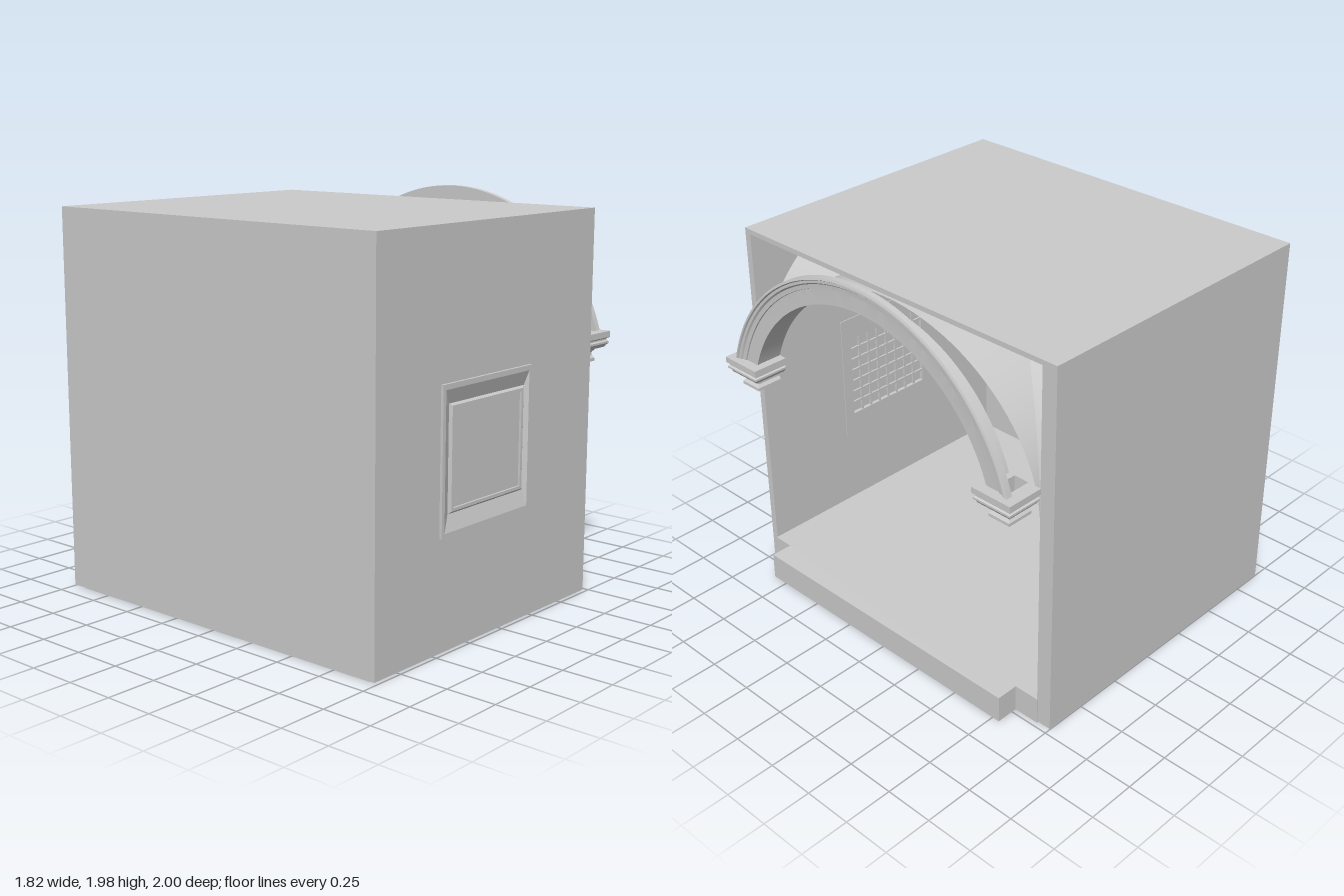
import * as THREE from 'three';
import { toCreasedNormals } from 'three/addons/utils/BufferGeometryUtils.js';

const solid = new THREE.MeshStandardMaterial({ color: 0xcccccc });
const thin = new THREE.MeshStandardMaterial({ color: 0xcccccc, side: THREE.DoubleSide });

function add(parent, name, geometry, material = solid) {
  const mesh = new THREE.Mesh(geometry, material);
  mesh.name = name;
  parent.add(mesh);
  return mesh;
}

// Box given by its minimum and maximum on each axis
function slab(parent, name, x0, x1, y0, y1, z0, z1) {
  const g = new THREE.BoxGeometry(x1 - x0, y1 - y0, z1 - z0);
  g.translate((x0 + x1) / 2, (y0 + y1) / 2, (z0 + z1) / 2);
  return add(parent, name, g);
}

function rect(path, x0, x1, y0, y1) {
  path.moveTo(x0, y0);
  path.lineTo(x1, y0);
  path.lineTo(x1, y1);
  path.lineTo(x0, y1);
  path.closePath();
  return path;
}

// Hollow moulding: a closed loop of rectangles [x0, x1, y0, y1, z]
function rectLoop(rings) {
  const pos = [];
  const corners = ([x0, x1, y0, y1, z]) => [[x0, y0, z], [x1, y0, z], [x1, y1, z], [x0, y1, z]];
  rings.forEach((ring, i) => {
    const p = corners(ring), q = corners(rings[(i + 1) % rings.length]);
    for (let j = 0; j < 4; j++) {
      const k = (j + 1) % 4;
      pos.push(...p[j], ...p[k], ...q[k], ...p[j], ...q[k], ...q[j]);
    }
  });
  const g = new THREE.BufferGeometry();
  g.setAttribute('position', new THREE.Float32BufferAttribute(pos, 3));
  g.computeVertexNormals();
  return g;
}

// One curved triangle of the groin vault, in unit coordinates mapped by place(along, across, height)
function vaultWeb(place) {
  const A = 48, T = 10, pos = [], idx = [];
  for (let i = 0; i <= A; i++) {
    const angle = (i / A - 0.5) * Math.PI, s = Math.sin(angle);
    for (let j = 0; j <= T; j++) {
      const along = Math.abs(s) + (1 - Math.abs(s)) * j / T;
      pos.push(...place(along, s, Math.cos(angle)));
      if (i < A && j < T) {
        const a = i * (T + 1) + j, b = a + T + 1;
        idx.push(a, b, b + 1, a, b + 1, a + 1);
      }
    }
  }
  const g = new THREE.BufferGeometry();
  g.setAttribute('position', new THREE.Float32BufferAttribute(pos, 3));
  g.setIndex(idx);
  g.computeVertexNormals();
  return g;
}

// Profile [radius, x] swept along the arch
function archSweep(profile) {
  const half = 73.5 * Math.PI / 180;
  const g = new THREE.LatheGeometry(profile.map(p => new THREE.Vector2(...p)), 64, -Math.PI / 2 - half, 2 * half);
  g.rotateZ(-Math.PI / 2);
  g.translate(0, 1.035, 0.03);
  return toCreasedNormals(g, 0.5);
}

export function createModel() {
  const model = new THREE.Group();
  model.name = 'vaultedRoom';

  // Outer shell, open on the +x side
  slab(model, 'roof', -0.91, 0.72, 1.895, 1.92, -1, 0.985);
  slab(model, 'endWall', -0.91, -0.89, 0.01, 1.92, -1, 0.985);
  slab(model, 'backWall', -0.91, 0.72, 0.01, 1.92, -1, -0.92);
  const wall = rect(new THREE.Shape(), -0.91, 0.72, 0.01, 1.92);
  wall.holes.push(rect(new THREE.Path(), -0.46, 0.19, 0.55, 1.22));
  const wallGeo = new THREE.ExtrudeGeometry(wall, { depth: 0.035, bevelEnabled: false });
  wallGeo.translate(0, 0, 0.95);
  add(model, 'frontWall', wallGeo);

  // Floor with a notch at each end of the step
  const plan = new THREE.Shape();
  [[-0.905, -0.955], [0.725, -0.955], [0.725, -0.84], [0.84, -0.84], [0.84, 0.79], [0.725, 0.79],
    [0.725, 0.925], [-0.905, 0.925]].forEach(([x, y], i) => (i ? plan.lineTo(x, y) : plan.moveTo(x, y)));
  const floorGeo = new THREE.ExtrudeGeometry(plan, { depth: 0.14, bevelEnabled: false });
  floorGeo.rotateX(-Math.PI / 2);
  add(model, 'floor', floorGeo);
  slab(model, 'underside', -0.91, 0.72, 0.005, 0.03, -1, 0.985);

  // Groin vault of four webs
  const vault = new THREE.Group();
  vault.name = 'vault';
  model.add(vault);
  const X = u => -0.085 + 0.805 * u, Z = v => 0.015 + 0.935 * v, Y = h => 1.1 + 0.785 * h;
  for (const side of [1, -1]) {
    add(vault, 'vaultWebX', vaultWeb((a, s, h) => [X(a * side), Y(h), Z(s)]), thin);
    add(vault, 'vaultWebZ', vaultWeb((a, s, h) => [X(s), Y(h), Z(a * side)]), thin);
  }

  // Arch: thin soffit and moulded face ring
  add(model, 'archSoffit', archSweep([[0.812, 0.72], [0.812, 0.855]]), thin);
  add(model, 'archFace', archSweep([
    [0.81, 0.85], [0.945, 0.85], [0.945, 0.88], [0.933, 0.884], [0.928, 0.876], [0.915, 0.876],
    [0.908, 0.868], [0.887, 0.866], [0.885, 0.86], [0.81, 0.86], [0.81, 0.85]]), thin);

  // Hollow capitals: [projection, height], outside upwards then down the hole
  const profile = [[0.06, 1.15], [0.06, 1.165], [0.048, 1.18], [0.048, 1.195], [0.065, 1.215], [0.092, 1.22],
    [0.098, 1.23], [0.108, 1.24], [0.108, 1.25], [0.1, 1.255], [0.1, 1.262], [0.112, 1.27], [0.112, 1.3]];
  const rings = profile.map(([h, y]) => [0.72, 0.8 + h, -h, h, y]);
  rings.push([0.72, 0.83, -0.04, 0.04, 1.3], [0.72, 0.83, -0.04, 0.04, 1.15]);
  for (const z of [0.865, -0.81]) {
    const g = rectLoop(rings);
    g.rotateX(-Math.PI / 2);
    add(model, 'capital', g, thin).position.z = z;
  }

  // Lamp ring hanging from the crown of the arch
  const ring = add(model, 'hangingRing', new THREE.TorusGeometry(0.028, 0.004, 8, 32));
  ring.rotation.y = Math.PI / 2;
  ring.position.set(0.75, 1.8, 0.03);
  add(model, 'ringHook', new THREE.CylinderGeometry(0.004, 0.004, 0.04, 8)).position.set(0.75, 1.845, 0.03);

  // Window: splayed frame, pane and inner grille
  const win = new THREE.Group();
  win.name = 'window';
  model.add(win);
  add(win, 'windowFrame', rectLoop([
    [-0.47, 0.2, 0.54, 1.23, 0.945], [-0.47, 0.2, 0.54, 1.23, 0.998], [-0.45, 0.18, 0.56, 1.205, 0.998],
    [-0.4, 0.17, 0.635, 1.135, 0.975], [-0.385, 0.155, 0.645, 1.125, 0.985], [-0.37, 0.14, 0.66, 1.11, 0.985],
    [-0.37, 0.14, 0.66, 1.11, 0.945]]));
  slab(win, 'pane', -0.375, 0.145, 0.655, 1.115, 0.965, 0.975);
  for (let i = 1; i < 8; i++) {
    const x = -0.37 + 0.51 * i / 8;
    slab(win, 'grilleUpright', x - 0.006, x + 0.006, 0.655, 1.115, 0.948, 0.958);
  }
  for (let i = 1; i < 7; i++) {
    const y = 0.66 + 0.45 * i / 7;
    slab(win, 'grilleBar', -0.375, 0.145, y - 0.006, y + 0.006, 0.946, 0.956);
  }
  return model;
}
